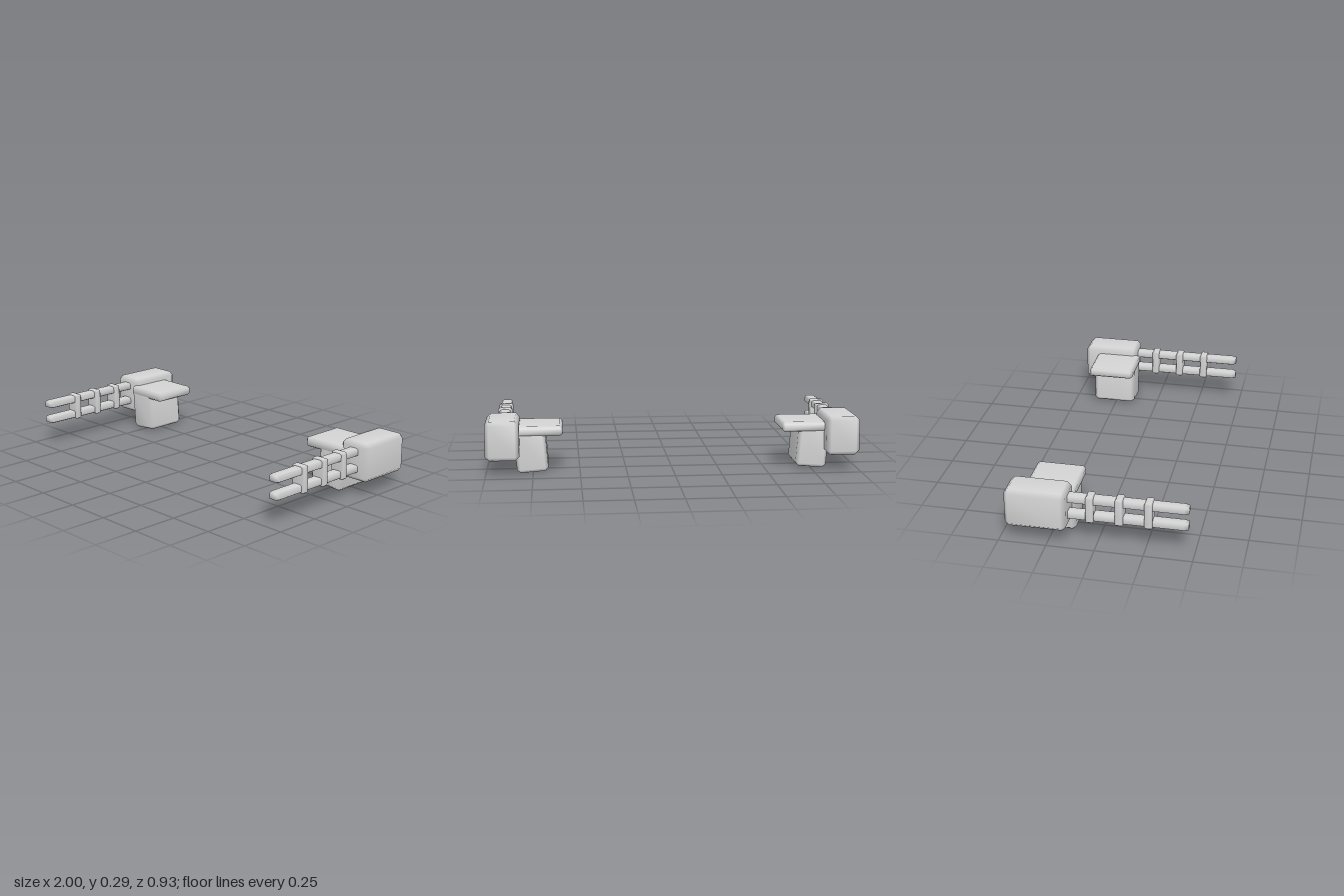
import * as THREE from 'three';
import { ConvexGeometry } from 'three/addons/geometries/ConvexGeometry.js';
import { mergeVertices } from 'three/addons/utils/BufferGeometryUtils.js';

// Box with every edge cut back by bx, by, bz along each axis, softly shaded
function chamferBox(w, h, d, bx, by = bx, bz = bx) {
  const points = [];
  for (const sx of [-1, 1]) for (const sy of [-1, 1]) for (const sz of [-1, 1]) {
    const x = w / 2, y = h / 2, z = d / 2;
    points.push(
      new THREE.Vector3(sx * x, sy * (y - by), sz * (z - bz)),
      new THREE.Vector3(sx * (x - bx), sy * y, sz * (z - bz)),
      new THREE.Vector3(sx * (x - bx), sy * (y - by), sz * z)
    );
  }
  const hull = new ConvexGeometry(points);
  hull.deleteAttribute('normal');
  const smooth = mergeVertices(hull);
  smooth.computeVertexNormals();
  return smooth;
}

export function createModel() {
  const model = new THREE.Group();
  const grey = new THREE.MeshStandardMaterial({ color: 0xd4d4d4 });
  grey.name = 'light grey';

  const bodyGeo = chamferBox(0.18, 0.21, 0.317, 0.022, 0.022, 0.022);
  const plateGeo = chamferBox(0.26, 0.054, 0.26, 0.014, 0.012, 0.014);
  const armGeo = chamferBox(0.168, 0.24, 0.247, 0.018, 0.018, 0.02);
  const barrelGeo = chamferBox(0.06, 0.042, 0.667, 0.01, 0.006, 0.022);
  const bandGeo = chamferBox(0.08, 0.146, 0.042, 0.008);

  for (const side of [1, -1]) {
    const unit = new THREE.Group();
    unit.name = side > 0 ? 'leftArm' : 'rightArm';
    const add = (name, geometry, x, y, z) => {
      const mesh = new THREE.Mesh(geometry, grey);
      mesh.name = name;
      mesh.position.set(side * x, y, z);
      unit.add(mesh);
      return mesh;
    };

    // Shoulder plate on top of a slightly leaning arm block
    add('shoulderPlate', plateGeo, 0.72, 0.23, -0.261);
    add('armBlock', armGeo, 0.76, 0.125, -0.257).rotation.z = -side * 0.078;

    // Gun body with two stacked barrels held by bands
    add('gunBody', bodyGeo, 0.91, 0.19, -0.307);
    add('upperBarrel', barrelGeo, 0.91, 0.244, 0.133);
    add('lowerBarrel', barrelGeo, 0.91, 0.152, 0.133);
    for (const z of [0.265, 0.115, -0.035]) add('barrelBand', bandGeo, 0.91, 0.198, z);

    model.add(unit);
  }
  return model;
}
